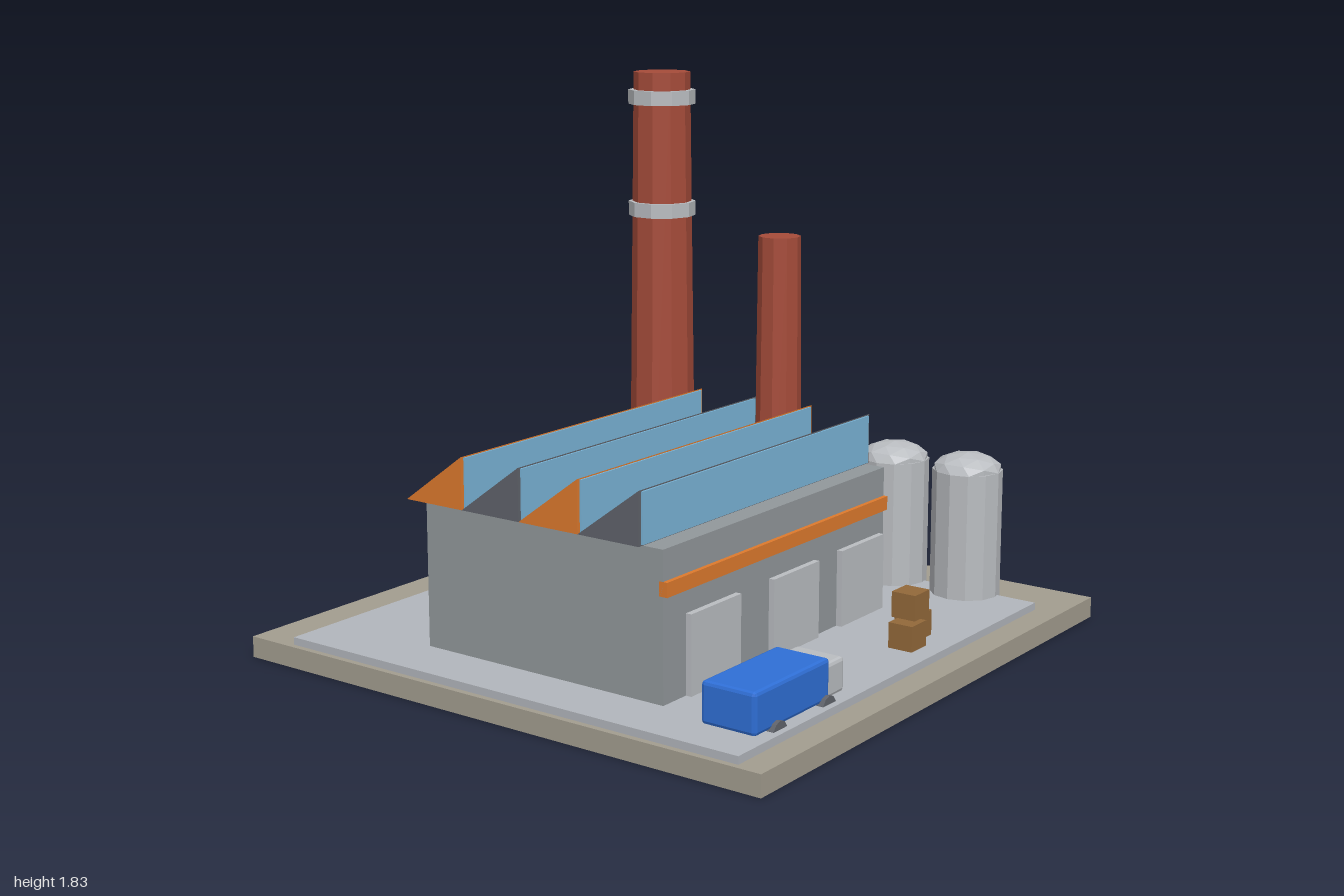
import * as THREE from 'three';
import { RoundedBoxGeometry } from 'three/addons/geometries/RoundedBoxGeometry.js';

const mat = (name, color) => {
  const m = new THREE.MeshStandardMaterial({ color, flatShading: true });
  m.name = name;
  return m;
};

export function createModel() {
  const model = new THREE.Group();
  model.name = 'factory';

  const ground = mat('ground', 0xa39d8f);
  const concrete = mat('concrete', 0xb2b6bc);
  const wall = mat('wall grey', 0x92989b);
  const slate = mat('slate grey', 0x60636b);
  const orange = mat('orange', 0xde7a2d);
  const glass = mat('glass blue', 0x7ab5d8);
  const brick = mat('brick red', 0xa64c3a);
  const metal = mat('light metal', 0xbabdc1);
  const blue = mat('truck blue', 0x2f6fd6);
  const wood = mat('crate brown', 0x93693a);

  const add = (name, geometry, material, x = 0, y = 0, z = 0, parent = model) => {
    const mesh = new THREE.Mesh(geometry, material);
    mesh.name = name;
    mesh.position.set(x, y, z);
    parent.add(mesh);
    return mesh;
  };
  // Box given by its limits on each axis
  const box = (name, material, [x0, x1], [y0, y1], [z0, z1], parent = model, bevel = 0) => {
    const size = [x1 - x0, y1 - y0, z1 - z0];
    const geometry = bevel ? new RoundedBoxGeometry(...size, 1, bevel) : new THREE.BoxGeometry(...size);
    return add(name, geometry, material, (x0 + x1) / 2, (y0 + y1) / 2, (z0 + z1) / 2, parent);
  };
  // Upright cylinder between two heights
  const column = (name, material, rTop, rBottom, sides, x, y0, y1, z, parent = model) =>
    add(name, new THREE.CylinderGeometry(rTop, rBottom, y1 - y0, sides), material, x, (y0 + y1) / 2, z, parent);
  const group = (name) => {
    const g = new THREE.Group();
    g.name = name;
    model.add(g);
    return g;
  };

  // Base and yard
  box('groundPlate', ground, [-1, 1], [0, 0.07], [-1, 1]);
  box('yardSlab', concrete, [-0.98, 0.76], [0.07, 0.095], [-0.83, 0.91]);

  // Hall with band and doors
  const hall = group('hall');
  box('hallWalls', wall, [-0.785, 0.435], [0.08, 0.57], [-0.42, 0.505], hall);
  box('frontBand', orange, [-0.785, 0.435], [0.427, 0.473], [0.49, 0.52], hall);
  for (const x of [-0.545, -0.111, 0.28]) {
    box('door', metal, [x - 0.128, x + 0.128], [0.09, 0.35], [0.5, 0.525], hall);
  }

  // Sawtooth roof: upright glazed front, slope falling to the back
  const roof = group('sawtoothRoof');
  const pitch = 0.229, roofWidth = 1.26, roofX = -0.175;
  const profile = new THREE.Shape([[0, 0], [0, 0.168], [-pitch, 0]].map(p => new THREE.Vector2(...p)));
  const tooth = new THREE.ExtrudeGeometry(profile, { depth: roofWidth, bevelEnabled: false });
  tooth.rotateY(-Math.PI / 2).translate(roofWidth / 2, 0, 0);
  for (let i = 0; i < 4; i++) {
    const z = 0.432 - i * pitch;
    add('roofTooth', tooth, i % 2 ? orange : slate, roofX, 0.57, z, roof);
    box('roofGlazing', glass, [-0.793, 0.443], [0.574, 0.734], [z - 0.001, z + 0.006], roof);
  }

  // Chimneys
  const tall = group('tallChimney');
  column('tallStack', brick, 0.099, 0.12, 10, 0.519, 0.07, 1.83, -0.477, tall);
  for (const y of [1.327, 1.718]) {
    column('chimneyRing', metal, 0.118, 0.118, 10, 0.519, y, y + 0.05, -0.477, tall);
  }
  column('shortStack', brick, 0.075, 0.086, 10, 0.715, 0.07, 1.26, -0.108);

  // Silos with low domes
  for (const z of [0.365, 0.652]) {
    const silo = group('silo');
    column('siloBody', metal, 0.119, 0.119, 12, 0.737, 0.07, 0.527, z, silo);
    add('siloDome', new THREE.IcosahedronGeometry(0.118, 1), metal, 0.737, 0.527, z, silo).scale.y = 0.48;
  }

  // Delivery truck
  const truck = group('truck');
  box('cargoBox', blue, [-0.847, -0.46], [0.098, 0.23], [0.684, 0.874], truck, 0.012);
  box('cab', metal, [-0.475, -0.365], [0.098, 0.207], [0.693, 0.865], truck, 0.012);
  const wheel = new THREE.CylinderGeometry(0.036, 0.036, 0.03, 10).rotateX(Math.PI / 2);
  for (const x of [-0.74, -0.482]) {
    for (const z of [0.686, 0.873]) add('wheel', wheel, slate, x, 0.085, z, truck);
  }

  // Stacked crates
  const crates = group('crates');
  for (const [x, y, z] of [[0.107, 0.095, 0.8], [0.214, 0.095, 0.757], [0.16, 0.179, 0.778]]) {
    box('crate', wood, [x - 0.044, x + 0.044], [y, y + 0.084], [z - 0.043, z + 0.043], crates);
  }

  return model;
}
